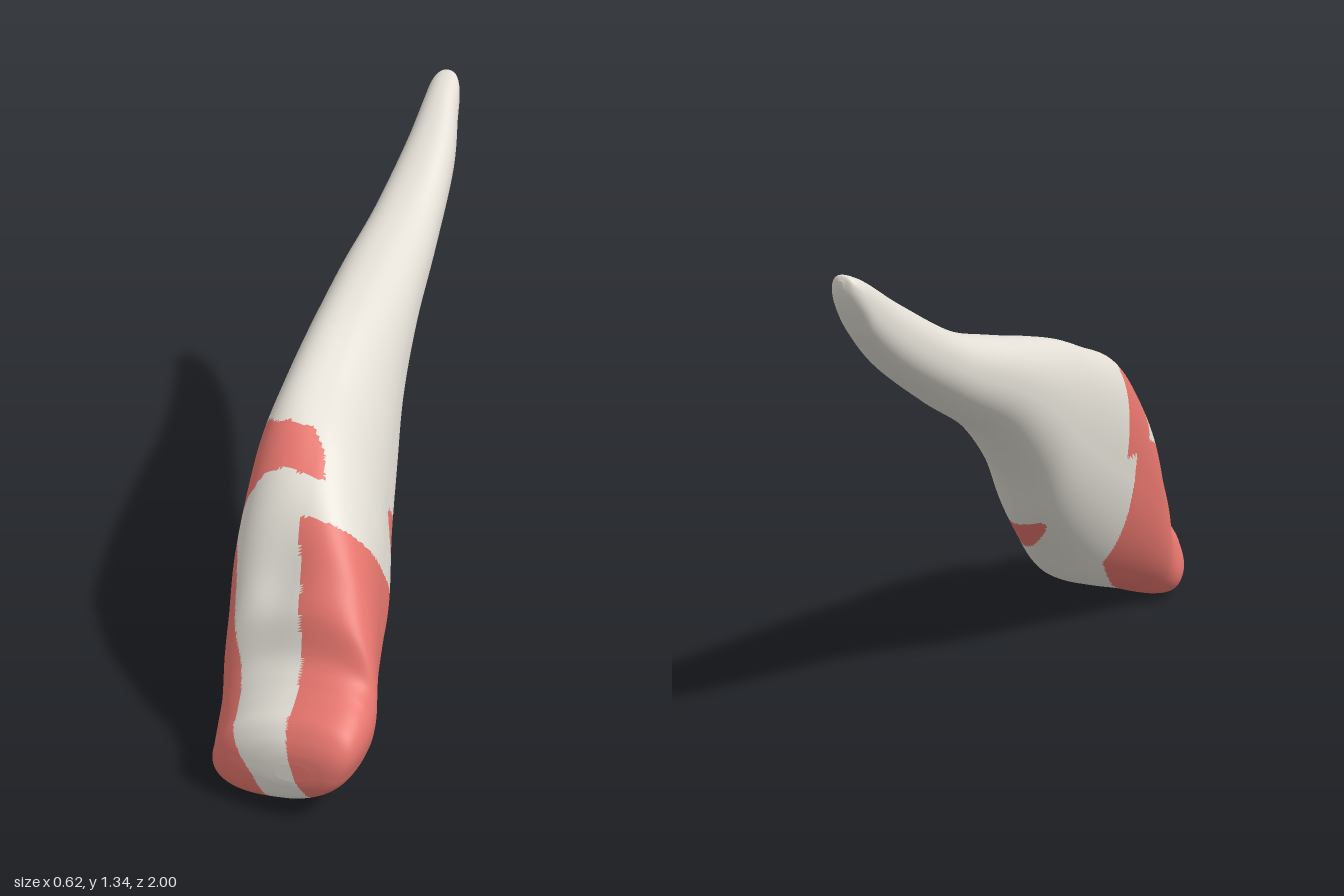
import * as THREE from 'three';

// Cross-sections from biting edge to root tip: z, left x, right x, bottom y, top y, lean
const SECTIONS = [
  [1.0, 0.1, 0.2, 0.14, 0.2, 0.4],
  [0.995, 0.04, 0.25, 0.11, 0.235, 0.42],
  [0.98, -0.05, 0.285, 0.06, 0.27, 0.45],
  [0.95, -0.11, 0.305, 0.025, 0.305, 0.45],
  [0.9, -0.135, 0.312, 0, 0.33, 0.45],
  [0.85, -0.15, 0.31, 0.005, 0.355, 0.38],
  [0.8, -0.16, 0.3, 0.02, 0.4, 0.25],
  [0.76, -0.17, 0.285, 0.035, 0.51, 0.1],
  [0.7, -0.185, 0.26, 0.055, 0.6, 0],
  [0.62, -0.205, 0.23, 0.08, 0.71, -0.15],
  [0.5, -0.22, 0.19, 0.125, 0.82, -0.3],
  [0.4, -0.23, 0.16, 0.18, 0.885, -0.37],
  [0.25, -0.245, 0.1, 0.295, 0.935, -0.37],
  [0.1, -0.26, 0.05, 0.43, 0.985, -0.3],
  [-0.05, -0.275, 0.005, 0.61, 1.02, -0.2],
  [-0.25, -0.29, -0.04, 0.78, 1.06, -0.15],
  [-0.5, -0.3, -0.09, 0.91, 1.12, -0.1],
  [-0.75, -0.305, -0.14, 1.05, 1.235, 0],
  [-0.9, -0.31, -0.19, 1.16, 1.31, 0],
  [-0.96, -0.31, -0.21, 1.23, 1.335, 0],
  [-0.99, -0.295, -0.23, 1.28, 1.343, 0],
  [-1.0, -0.27, -0.255, 1.31, 1.33, 0],
];
const SIDES = 160;
const RINGS = (SECTIONS.length - 1) * 16;

// Zone borders as [input, output] points
const LEFT_OF_STRIPE = [[0.03, 0.07], [0.12, 0.03], [0.2, -0.03], [0.3, -0.09], [0.42, -0.14], [0.55, -0.175], [0.6, -0.21], [0.64, -0.3]];
const RIGHT_OF_STRIPE = [[0.08, 0.19], [0.15, 0.155], [0.28, 0.12], [0.4, 0.085], [0.55, 0.05], [0.68, 0]];
const UNDERSIDE = [[0.41, 0.32], [0.5, 0.25], [0.6, 0.21], [0.75, 0.16], [0.9, 0.1], [1, 0.08]];
const NECK_BAND = [[-0.3, 0.58], [-0.3, 0.78], [-0.23, 0.78], [-0.2, 0.84], [-0.12, 0.87], [-0.05, 0.86], [0, 0.82],
  [0.03, 0.77], [-0.02, 0.78], [-0.08, 0.79], [-0.14, 0.76], [-0.18, 0.69], [-0.22, 0.58]];

function lookup(table, v) {
  if (v <= table[0][0]) return table[0][1];
  for (let i = 1; i < table.length; i++) {
    const [a, b] = [table[i - 1], table[i]];
    if (v <= b[0]) return THREE.MathUtils.mapLinear(v, a[0], b[0], a[1], b[1]);
  }
  return table[table.length - 1][1];
}

function insidePolygon(poly, x, y) {
  let inside = false;
  poly.forEach(([x1, y1], i) => {
    const [x2, y2] = poly[(i + 1) % poly.length];
    if ((y1 > y) !== (y2 > y) && x < x1 + ((y - y1) / (y2 - y1)) * (x2 - x1)) inside = !inside;
  });
  return inside;
}

// Decides whether a small face belongs to a red contact zone
function isRed(x, y, z, t, u) {
  const upper = t < Math.PI;
  const rightLimit = 0.4 + 0.65 * Math.max(0, y - 0.37);
  // patch on the underside of the neck
  const deg = u > Math.PI ? THREE.MathUtils.radToDeg(u) - 360 : THREE.MathUtils.radToDeg(u);
  const k = 1 - ((deg + 58) / 55) ** 2;
  if (k > 0 && Math.abs(z - 0.3 - 0.0016 * (deg + 6)) < 0.065 * Math.sqrt(k)) return true;
  // curved band on the upper neck
  if (z > 0.4 && z < 0.62 && t < 3.8 && insidePolygon(NECK_BAND, x, y)) return true;
  // the two sides of the crown
  if (upper || z > 0.93) {
    if (x > lookup(RIGHT_OF_STRIPE, y) && z > rightLimit) return true;
    return x < lookup(LEFT_OF_STRIPE, y) && z > 0.45;
  }
  const middle = 0.07 + 0.4 * (z - 0.9);
  if (x < middle) return z > 0.46;
  return y > lookup(UNDERSIDE, z) && z > rightLimit;
}

const soften = (v) => Math.sign(v) * Math.abs(v) ** 0.88;

export function createModel() {
  const group = new THREE.Group();
  group.name = 'tooth';
  const ivory = new THREE.MeshStandardMaterial({ color: 0xe3dfd6 });
  ivory.name = 'ivory';
  const coral = new THREE.MeshStandardMaterial({ color: 0xe5756d });
  coral.name = 'coral red';

  // Smooth interpolation through the sections
  const widthCurve = new THREE.CatmullRomCurve3(SECTIONS.map((s) => new THREE.Vector3(s[0], s[1], s[2])), false, 'catmullrom', 0.5);
  const heightCurve = new THREE.CatmullRomCurve3(SECTIONS.map((s) => new THREE.Vector3(s[3], s[4], s[5])), false, 'catmullrom', 0.5);

  const positions = [];
  const leans = [];
  for (let i = 0; i <= RINGS; i++) {
    const { x: z, y: x0, z: x1 } = widthCurve.getPoint(i / RINGS);
    const { x: y0, y: y1, z: lean } = heightCurve.getPoint(i / RINGS);
    const psi = Math.asin(lean);
    leans.push(psi);
    for (let j = 0; j < SIDES; j++) {
      const t = (j / SIDES) * Math.PI * 2;
      const x = (x0 + x1) / 2 + ((x1 - x0) / 2) * soften(Math.cos(t));
      let y = (y0 + y1) / 2 + ((y1 - y0) / 2) * soften(Math.sin(t + psi));
      // shallow hollow in the inner face of the crown
      if (t < Math.PI) {
        y -= 0.04 * Math.sin(t) * Math.exp(-(((x + 0.02) / 0.08) ** 2) - ((z - 0.71) / 0.08) ** 2);
      }
      positions.push(x, y, z);
    }
  }

  // Sort faces into ivory and red
  const faces = { ivory: [], red: [] };
  const at = (i, j) => i * SIDES + (j % SIDES);
  const TAU = Math.PI * 2;
  function addFace(a, b, c, i, j) {
    const mid = [0, 1, 2].map((k) => (positions[a * 3 + k] + positions[b * 3 + k] + positions[c * 3 + k]) / 3);
    const t = ((j + 0.5) / SIDES) * TAU;
    const u = (t + leans[i] + TAU) % TAU;
    (isRed(...mid, t, u) ? faces.red : faces.ivory).push(a, b, c);
  }
  for (let i = 0; i < RINGS; i++) {
    for (let j = 0; j < SIDES; j++) {
      addFace(at(i, j), at(i + 1, j), at(i, j + 1), i, j);
      addFace(at(i + 1, j), at(i + 1, j + 1), at(i, j + 1), i, j);
    }
  }
  // Close both ends
  const front = positions.length / 3;
  positions.push(0.15, 0.17, 1, -0.2625, 1.32, -1);
  for (let j = 0; j < SIDES; j++) {
    addFace(front, at(0, j), at(0, j + 1), 0, j);
    addFace(front + 1, at(RINGS, j + 1), at(RINGS, j), RINGS, j);
  }

  const whole = new THREE.BufferGeometry();
  whole.setAttribute('position', new THREE.Float32BufferAttribute(positions, 3));
  whole.setIndex([...faces.ivory, ...faces.red]);
  whole.computeVertexNormals();

  // Both parts share the same smooth surface
  function addPart(name, index, material) {
    const geometry = new THREE.BufferGeometry();
    geometry.setAttribute('position', whole.attributes.position);
    geometry.setAttribute('normal', whole.attributes.normal);
    geometry.setIndex(index);
    const mesh = new THREE.Mesh(geometry, material);
    mesh.name = name;
    group.add(mesh);
  }
  addPart('crownAndRoot', faces.ivory, ivory);
  addPart('contactZones', faces.red, coral);
  return group;
}
